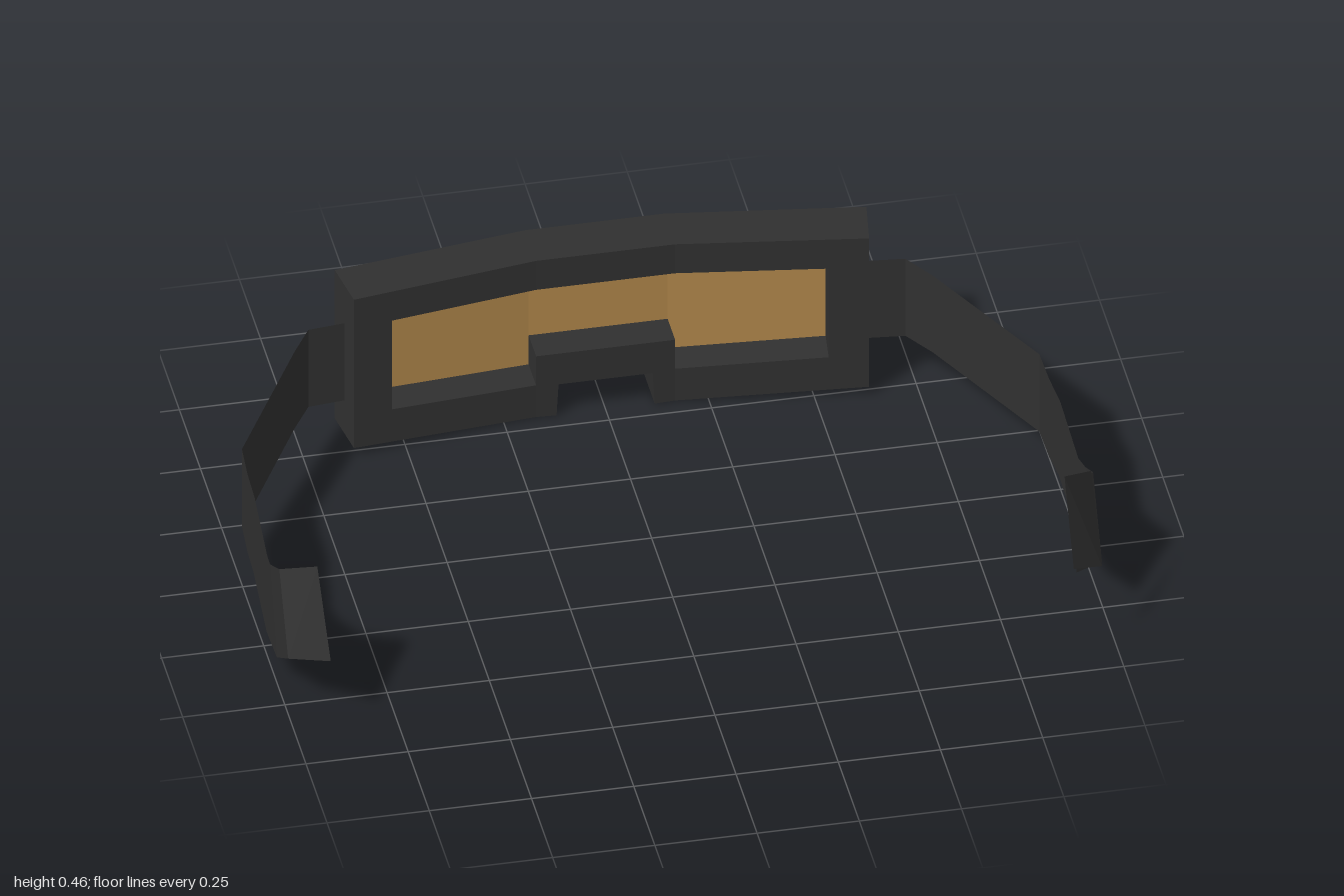
import * as THREE from 'three';

const BEND = 0.17; // half width of the flat middle section

// Extrude an outline along z, then sweep the outer wings back toward +z
function bentPlate(name, points, zFront, depth, material, bulge = 0) {
  const shape = new THREE.Shape(points.map(([x, y]) => new THREE.Vector2(x, y)));
  const geo = new THREE.ExtrudeGeometry(shape, { depth, bevelEnabled: false });
  const p = geo.attributes.position;
  for (let i = 0; i < p.count; i++) {
    const x = p.getX(i), t = p.getZ(i), ax = Math.abs(x);
    const wing = Math.max(0, ax - BEND) / 0.48;
    const peak = t < 0.001 ? bulge * Math.max(0, 1 - ax / BEND) : 0;
    const taper = (zFront + t + 0.675) / 0.13;
    p.setX(i, x - Math.sign(x) * wing * 0.02 * taper);
    p.setZ(i, zFront + t + wing * 0.07 - peak);
  }
  geo.computeVertexNormals();
  const mesh = new THREE.Mesh(geo, material);
  mesh.name = name;
  return mesh;
}

// Sheet joining successive [top, bottom] edge pairs
function ribbon(name, edges, side, material) {
  const pos = [];
  const put = (v) => pos.push(side * v[0], v[1], v[2]);
  for (let i = 0; i < edges.length - 1; i++) {
    const [a, b] = edges[i], [c, d] = edges[i + 1];
    const quad = side > 0 ? [a, c, b, b, c, d] : [a, b, c, b, d, c];
    quad.forEach(put);
  }
  const geo = new THREE.BufferGeometry();
  geo.setAttribute('position', new THREE.Float32BufferAttribute(pos, 3));
  geo.computeVertexNormals();
  const mesh = new THREE.Mesh(geo, material);
  mesh.name = name;
  return mesh;
}

export function createModel() {
  const group = new THREE.Group();
  group.name = 'goggles';
  const black = new THREE.MeshStandardMaterial({ color: 0x303030, flatShading: true, side: THREE.DoubleSide });
  black.name = 'charcoal';
  const amber = new THREE.MeshStandardMaterial({ color: 0xb0864a, flatShading: true, side: THREE.DoubleSide });
  amber.name = 'amber lens';

  // Middle of the frame: brow bar and notched nose bridge
  group.add(bentPlate('browBar', [[-0.17, 0.375], [0.17, 0.375], [0.17, 0.46], [-0.17, 0.46]], -0.675, 0.13, black));
  group.add(bentPlate('noseBridge', [
    [0.17, 0.002], [0.17, 0.18], [0, 0.18], [-0.17, 0.18], [-0.17, 0.002],
    [-0.12, 0], [-0.115, 0.09], [0, 0.09], [0.115, 0.09], [0.12, 0],
  ], -0.675, 0.13, black, 0.016));
  group.add(bentPlate('lensMiddle', [[-0.17, 0.17], [0.17, 0.17], [0.17, 0.375], [-0.17, 0.375]], -0.64, 0.006, amber));

  // Strap edges from the frame to the rear, as [top, bottom]
  const strap = [
    [[0.635, 0.348, -0.54], [0.635, 0.122, -0.54]],
    [[0.73, 0.348, -0.53], [0.73, 0.122, -0.53]],
    [[0.78, 0.347, -0.45], [0.78, 0.122, -0.45]],
    [[0.975, 0.31, -0.13], [0.975, 0.083, -0.13]],
    [[0.98, 0.3, -0.04], [0.98, 0.072, -0.04]],
    [[0.985, 0.307, 0.07], [0.985, 0.08, 0.055]],
    [[0.992, 0.265, 0.25], [0.992, 0.037, 0.245]],
    [[0.997, 0.28, 0.31], [0.997, 0.063, 0.39]],
    [[0.995, 0.335, 0.41], [0.995, 0.145, 0.515]],
    [[0.918, 0.385, 0.487], [0.912, 0.197, 0.618]],
  ];

  for (const s of [1, -1]) {
    const label = s > 0 ? 'left' : 'right';
    const flip = (pts) => pts.map(([x, y]) => [s * x, y]);
    // C-shaped frame wing
    group.add(bentPlate(label + 'FrameWing', flip([
      [0.17, 0.46], [0.17, 0.375], [0.55, 0.375], [0.55, 0.115],
      [0.17, 0.095], [0.17, 0.002], [0.65, 0.025], [0.65, 0.46],
    ]), -0.675, 0.13, black));
    group.add(bentPlate(label + 'Lens', flip([
      [0.17, 0.375], [0.55, 0.375], [0.55, 0.115], [0.17, 0.095],
    ]), -0.64, 0.006, amber));
    group.add(ribbon(label + 'Strap', strap, s, black));
  }

  // Clasp on the end of the left strap only
  group.add(ribbon('claspPlate', [
    [[0.975, 0.39, 0.48], [0.975, 0.203, 0.613]],
    [[0.89, 0.455, 0.58], [0.89, 0.26, 0.69]],
  ], 1, black));

  return group;
}
